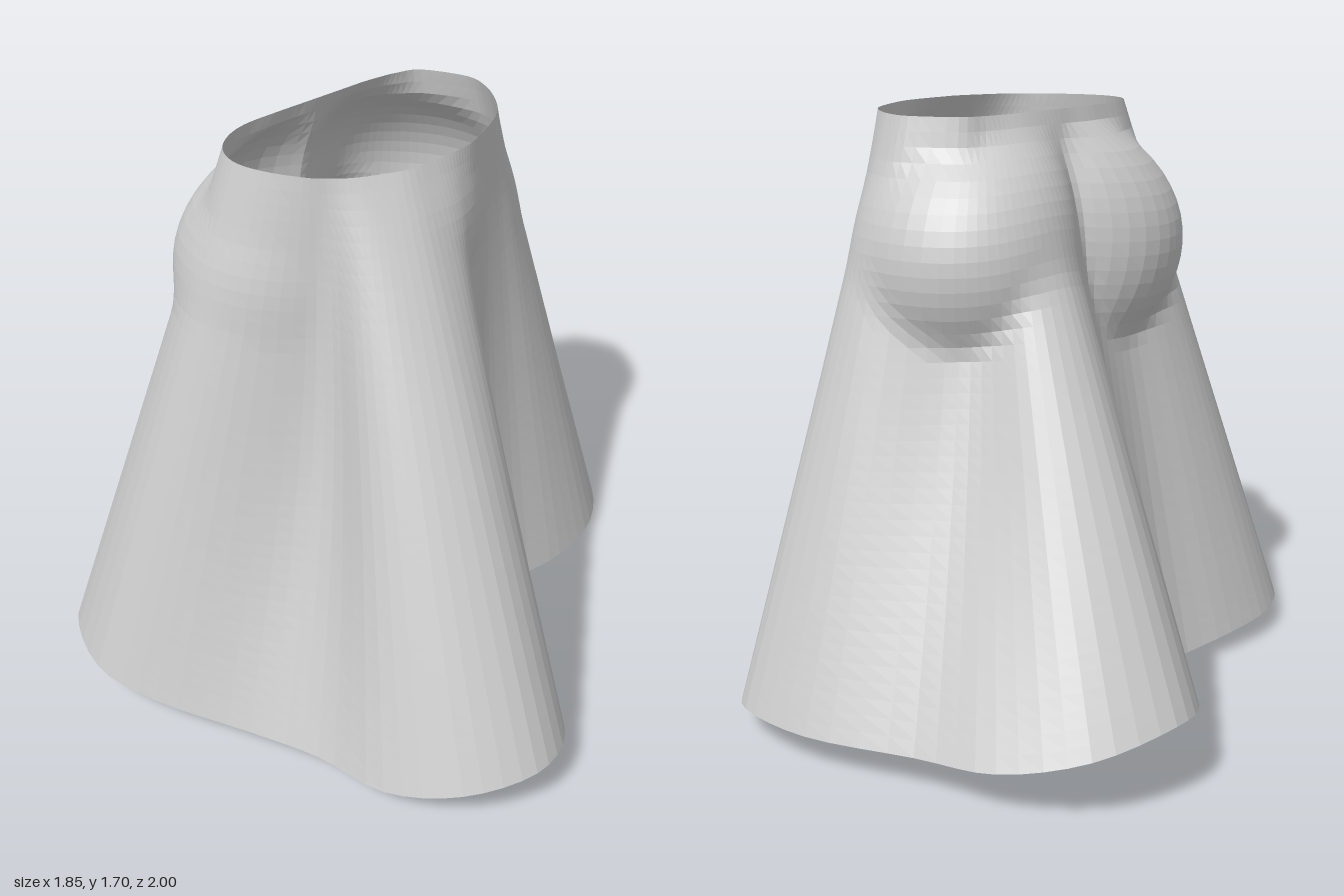
import * as THREE from 'three';

const COLUMNS = 112, ROWS = 40, TOP = 1.7;

// Hem outline (x, y, z), running right, front, left, back
const HEM = [
  [.42, .24, -1], [.65, .2, -.91], [.77, .14, -.7], [.81, .11, -.45],
  [.91, .1, -.14], [.9, .09, .12], [.77, .055, .255], [.58, .03, .29],
  [.4, .01, .265], [.24, 0, .27], [.09, .015, .35], [.02, .045, .52],
  [-.02, .1, .78], [-.12, .155, .94], [-.3, .18, 1], [-.5, .16, .91],
  [-.62, .11, .72], [-.65, .07, .47], [-.72, .04, .24], [-.87, .07, -.03],
  [-.93, .1, -.24], [-.84, .09, -.49], [-.68, .08, -.58], [-.48, .065, -.575],
  [-.25, .04, -.525], [-.04, .075, -.585], [.09, .13, -.74], [.22, .2, -.93],
];

// Waist outline (x, z), one point above each hem point
const WAIST = [
  [.15, -.23], [.21, -.225], [.27, -.215], [.34, -.185],
  [.405, -.06], [.395, .02], [.36, .09], [.31, .155],
  [.25, .2], [.17, .24], [.1, .268], [.05, .277],
  [0, .28], [-.06, .28], [-.14, .275], [-.22, .245],
  [-.28, .215], [-.33, .175], [-.37, .13], [-.425, .03],
  [-.445, -.06], [-.42, -.14], [-.36, -.195], [-.28, -.225],
  [-.17, -.23], [-.06, -.23], [.02, -.23], [.09, -.23],
];

// Rounded hips and belly that push the cloth outwards
const BODY = [
  { x: .24, y: 1.3, z: -.12, r: .31, ry: .42 },
  { x: -.24, y: 1.3, z: -.13, r: .31, ry: .42 },
  { x: -.06, y: 1.47, z: .06, r: .28, ry: .3 },
];

// Folds that sink inwards halfway down; at counts along the hem points
const FOLDS = [
  { at: 17.3, width: 1.1, x: .08, z: -.04 },
  { at: 2.5, width: 1.3, x: -.08, z: .06 },
];

const loop = points => new THREE.CatmullRomCurve3(points, true, 'catmullrom', 0.5);

// Larger of two values, with the changeover rounded off
function softMax(a, b, k = .04) {
  const h = Math.max(k - Math.abs(a - b), 0);
  return Math.max(a, b) + h * h / (4 * k);
}

function drape(p, u, t) {
  for (const f of FOLDS) {
    const w = Math.exp(-(((u * HEM.length - f.at) / f.width) ** 2)) * Math.sin(Math.PI * t);
    p.x += f.x * w;
    p.z += f.z * w;
  }
  // Move the point out to the body surface along its ray from the axis
  const length = Math.hypot(p.x, p.z), dx = p.x / length, dz = p.z / length;
  let reach = length;
  for (const b of BODY) {
    const slice = Math.sqrt(Math.max(0, 1 - ((p.y - b.y) / b.ry) ** 2));
    const along = dx * b.x + dz * b.z;
    const edge = along + Math.sqrt(along ** 2 - b.x ** 2 - b.z ** 2 + b.r ** 2);
    reach = softMax(reach, edge * slice);
  }
  p.x = dx * reach;
  p.z = dz * reach;
  return p;
}

function skirtGeometry() {
  const hem = loop(HEM.map(p => new THREE.Vector3(...p)));
  const waist = loop(WAIST.map(([x, z]) => new THREE.Vector3(x, TOP, z)));
  const positions = [], index = [];
  for (let j = 0; j <= ROWS; j++) {
    for (let i = 0; i < COLUMNS; i++) {
      const u = i / COLUMNS, t = j / ROWS;
      const p = waist.getPoint(u).lerp(hem.getPoint(u), t);
      positions.push(...drape(p, u, t).toArray());
      if (j === ROWS) continue;
      const next = (i + 1) % COLUMNS;
      const a = j * COLUMNS + i, b = j * COLUMNS + next;
      const c = a + COLUMNS, d = b + COLUMNS;
      index.push(a, b, c, b, d, c);
    }
  }
  const geometry = new THREE.BufferGeometry();
  geometry.setAttribute('position', new THREE.Float32BufferAttribute(positions, 3));
  geometry.setIndex(index);
  geometry.computeVertexNormals();
  return geometry;
}

export function createModel() {
  const cloth = new THREE.MeshStandardMaterial({
    name: 'grey cloth', color: 0xcccccc, side: THREE.DoubleSide, flatShading: true,
  });
  const skirt = new THREE.Mesh(skirtGeometry(), cloth);
  skirt.name = 'skirt';
  const model = new THREE.Group();
  model.name = 'drapedSkirt';
  model.add(skirt);
  return model;
}
